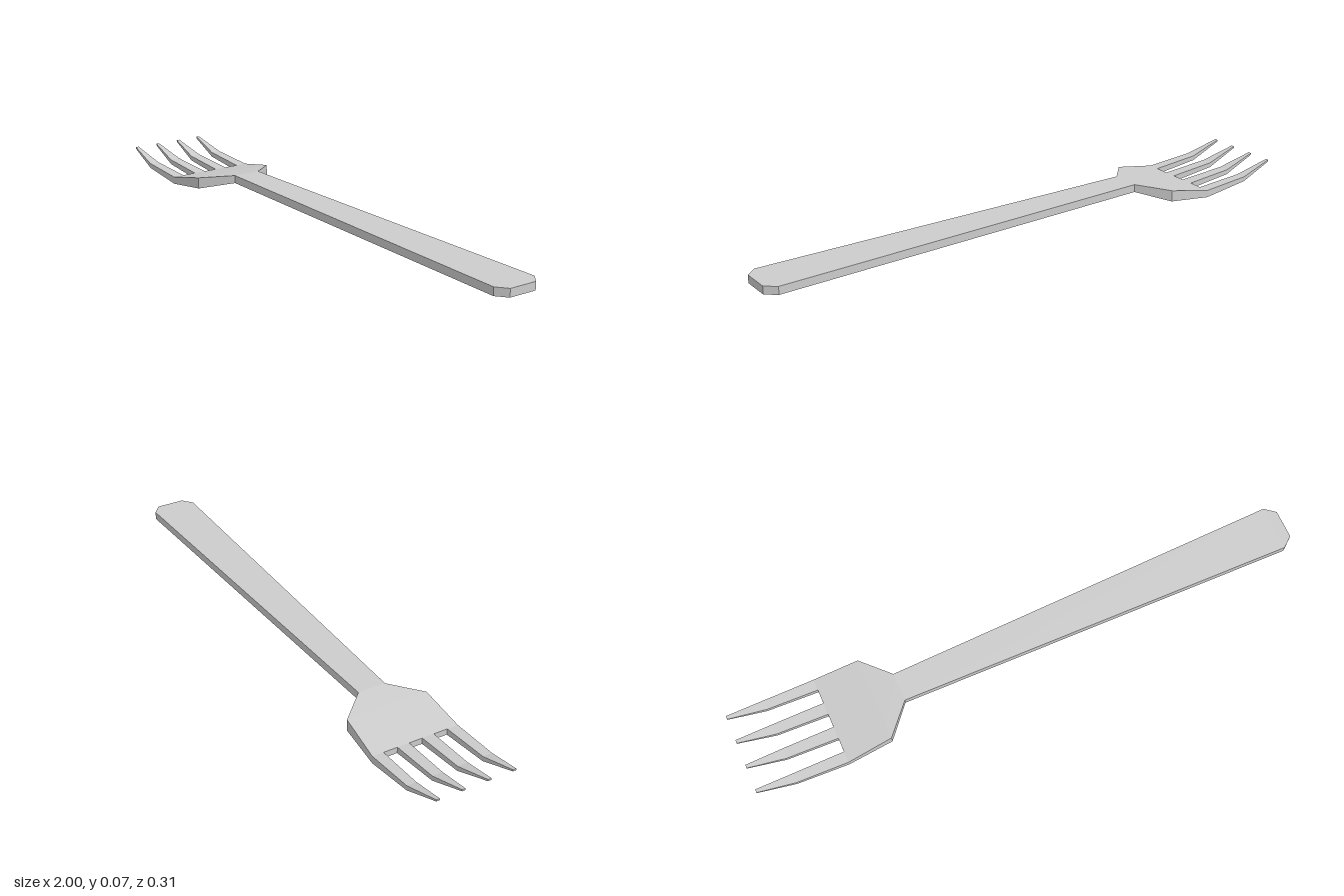
import * as THREE from 'three';

const material = new THREE.MeshStandardMaterial({ color: 0xcccccc, flatShading: true });

// Lofts stations ordered by rising x: [x, [[z, bottomY, topY], ...columns by rising z]]
function loft(name, stations, capStart, capEnd) {
  const positions = [];
  const quad = (a, b, c, d) => [a, b, c, a, c, d].forEach(p => positions.push(...p));
  const loops = stations.map(([x, columns]) => [
    ...columns.map(([z, low]) => [x, low, z]),
    ...columns.map(([z, , high]) => [x, high, z]).reverse(),
  ]);
  const n = loops[0].length;
  for (let s = 0; s < loops.length - 1; s++) {
    const a = loops[s], b = loops[s + 1];
    for (let i = 0; i < n; i++) {
      const j = (i + 1) % n;
      quad(a[i], b[i], b[j], a[j]);
    }
  }
  const first = loops[0], last = loops[loops.length - 1];
  for (let k = 0; k < n / 2 - 1; k++) {
    if (capStart) quad(first[k], first[k + 1], first[n - 2 - k], first[n - 1 - k]);
    if (capEnd) quad(last[n - 1 - k], last[n - 2 - k], last[k + 1], last[k]);
  }
  const geometry = new THREE.BufferGeometry();
  geometry.setAttribute('position', new THREE.Float32BufferAttribute(positions, 3));
  geometry.computeVertexNormals();
  const mesh = new THREE.Mesh(geometry, material);
  mesh.name = name;
  return mesh;
}

// Symmetric station with an inner flat part and two outer edges
const wide = (x, inner, outer, low, high, edgeLow = low) =>
  [x, [[-outer, edgeLow, high], [-inner, low, high], [inner, low, high], [outer, edgeLow, high]]];

export function createModel() {
  const group = new THREE.Group();
  group.name = 'fork';

  // Long flat handle, widening towards a chamfered end
  const bar = (x, half) => [x, [[-half, 0.044, 0.072], [half, 0.044, 0.072]]];
  group.add(loft('handle', [bar(-0.44, 0.05), bar(0.963, 0.08), bar(1, 0.05)], false, true));

  // Flared neck and dipped palm
  group.add(loft('palm', [
    wide(-0.69, 0.117, 0.157, 0.005, 0.027, 0.001),
    wide(-0.53, 0.112, 0.148, 0.019, 0.059),
    wide(-0.44, 0.038, 0.05, 0.044, 0.072),
  ], true, false));

  // Four tapering, upswept tines: [root inner z, root outer z, tip z, outer edge drop]
  const tines = [[0.117, 0.157, 0.136, 0.004], [0.024, 0.067, 0.046, 0]];
  for (const side of [-1, 1]) {
    for (const [inner, outer, tip, drop] of tines) {
      const station = (x, zIn, zOut, low, high, outLow = low) => [x,
        [[side * zIn, low, high], [side * zOut, outLow, high]].sort((p, q) => p[0] - q[0])];
      group.add(loft('tine', [
        station(-1, tip - 0.006, tip + 0.006, 0.066, 0.072),
        station(-0.87, inner + 0.003, outer - 0.003, 0.021, 0.038),
        station(-0.69, inner, outer, 0.005, 0.027, 0.005 - drop),
      ], true, false));
    }
  }
  return group;
}
